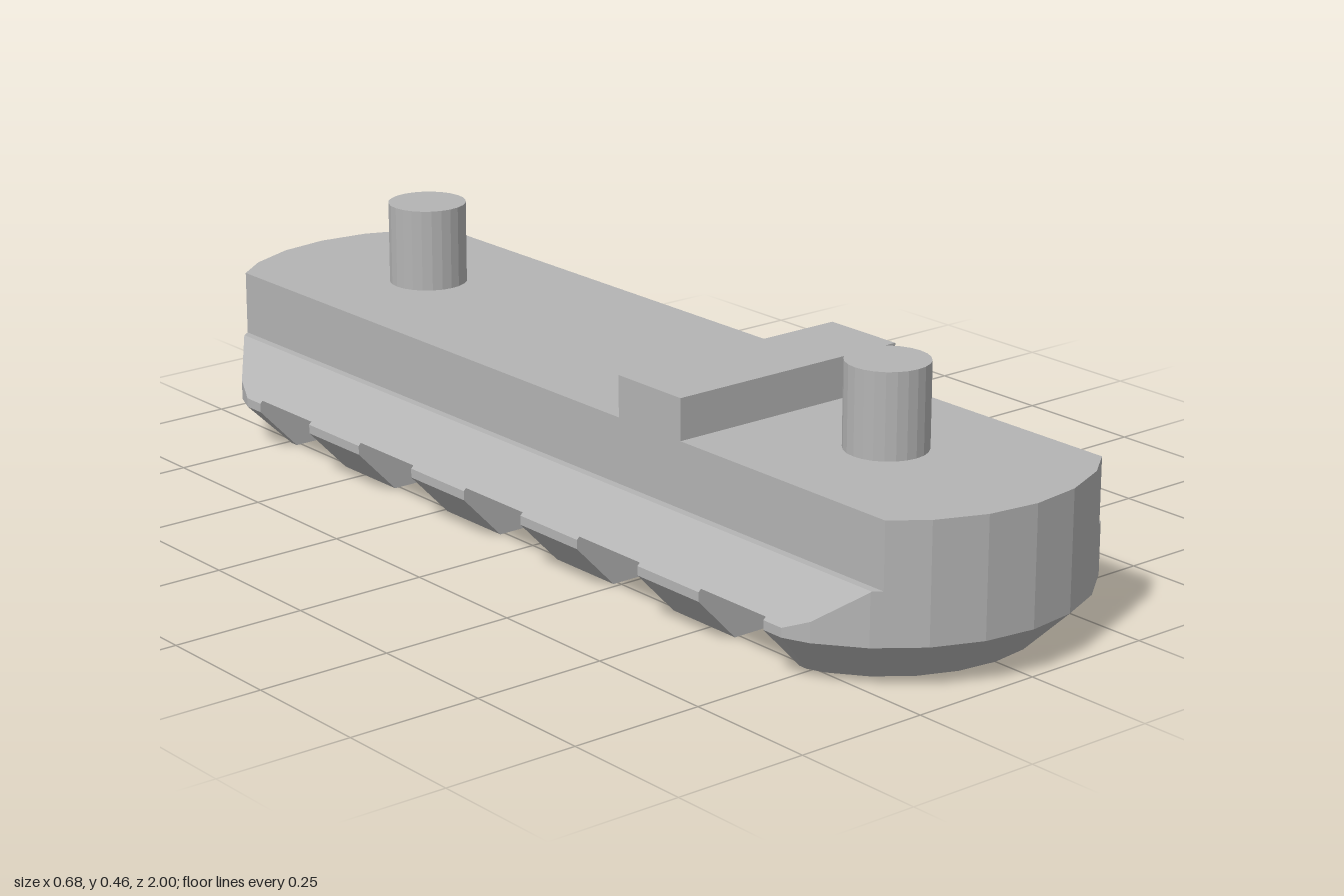
import * as THREE from 'three';

const STEP = Math.PI / 12;
const END_Z = 0.63;      // centre of the rounded ends
const SCREW_Z = 0.643;   // pins and counterbores
const BORE_R = 0.175;
const SLOT_Y = 0.105;    // slot depth

// Half width of the dovetail at height y, and radius of its rounded end
const halfWidth = y => y < 0.083 ? 0.26 + y * 0.08 / 0.083 : y <= 0.1 ? 0.34 : 0.44 - y;
const endRadius = y => y < 0.083 ? 0.285 + y * 0.085 / 0.083 : 0.37;

// Faceted end arc from +x to -x, trimmed to half width w; points are (x, z)
function endArc(w, r) {
  const k0 = Math.floor(Math.asin(w / r) / STEP);
  const xa = r * Math.sin(k0 * STEP), xb = r * Math.sin((k0 + 1) * STEP);
  const za = r * Math.cos(k0 * STEP), zb = r * Math.cos((k0 + 1) * STEP);
  const trimZ = za + (zb - za) * (w - xa) / (xb - xa);
  const pts = [];
  for (let k = 6; k >= -6; k--) {
    const cut = Math.abs(k) > k0;
    const x = cut ? Math.sign(k) * w : r * Math.sin(k * STEP);
    pts.push(new THREE.Vector2(x, END_Z + (cut ? trimZ : r * Math.cos(k * STEP))));
  }
  return pts;
}

// Part of the counterbore circle beyond the line z = zc, from -x to +x
function boreArc(zc) {
  const d = zc - SCREW_Z, half = Math.acos(Math.abs(d) / BORE_R), s = Math.sign(d);
  return Array.from({ length: 11 }, (_, i) => {
    const a = half * (i / 5 - 1);
    return new THREE.Vector2(BORE_R * Math.sin(a), SCREW_Z + s * BORE_R * Math.cos(a));
  });
}

const circle = (r, z, n) => Array.from({ length: n }, (_, i) => {
  const a = i / n * Math.PI * 2;
  return new THREE.Vector2(r * Math.cos(a), z + r * Math.sin(a));
});

// Join plan outlines stacked in y; falling levels make an inward-facing recess
function loft(levels, { holes = [], capEnd = true } = {}) {
  const pos = [];
  const tri = (a, b, c) => {
    const area = b.clone().sub(a).cross(c.clone().sub(a)).length();
    if (area > 1e-9) for (const p of [a, b, c]) pos.push(p.x, p.y, p.z);
  };
  const at = (p, y) => new THREE.Vector3(p.x, y, p.y);
  for (let l = 0; l < levels.length - 1; l++) {
    const [ya, a] = levels[l], [yb, b] = levels[l + 1];
    for (let i = 0; i < a.length; i++) {
      const j = (i + 1) % a.length;
      tri(at(a[i], ya), at(b[i], yb), at(a[j], ya));
      tri(at(b[i], yb), at(b[j], yb), at(a[j], ya));
    }
  }
  const cap = ([y, pts], cuts, flip) => {
    const clean = pts.filter((p, i) => p.distanceTo(pts[(i + 1) % pts.length]) > 1e-6);
    const all = [clean, ...cuts].flat();
    for (const [i, j, k] of THREE.ShapeUtils.triangulateShape(clean, cuts)) {
      const t = [i, j, k].map(n => at(all[n], y));
      if (flip) t.reverse();
      tri(...t);
    }
  };
  cap(levels[0], holes, false);
  if (capEnd) cap(levels[levels.length - 1], [], true);
  const g = new THREE.BufferGeometry();
  g.setAttribute('position', new THREE.Float32BufferAttribute(pos, 3));
  g.computeVertexNormals();
  return g;
}

export function createModel() {
  const model = new THREE.Group();
  model.name = 'railSection';
  const grey = new THREE.MeshStandardMaterial({ color: 0xb4b4b4 });
  grey.name = 'grey';
  const add = (name, geometry, parent = model) => {
    const mesh = new THREE.Mesh(geometry, grey);
    mesh.name = name;
    parent.add(mesh);
    return mesh;
  };

  // Upper body: dovetail shoulders, ledge and straight top
  const plan = w => {
    const arc = endArc(w, 0.37);
    return [...arc, ...arc.map(p => p.clone().negate())];
  };
  const bodyLevels = [SLOT_Y, 0.1196, 0.1784, 0.18].map(y => [y, plan(halfWidth(y))]);
  bodyLevels.push([0.18, plan(0.245)], [0.3, plan(0.245)]);
  const holes = [1, -1].map(s => circle(0.074, s * SCREW_Z, 16));
  add('body', loft(bodyLevels, { holes: holes.map(h => h.slice().reverse()) }));
  for (const h of holes) add('screwHole', loft([[0.27, h], [SLOT_Y, h]], { capEnd: false }));

  // Underside teeth and end blocks, repeated at both ends
  const lowLevels = [0, 0.083, 0.1, SLOT_Y];
  const stack = outline => loft(lowLevels.map(y => [y, outline(halfWidth(y), endRadius(y))]));
  const V = (x, z) => new THREE.Vector2(x, z);
  const endBlock = stack((w, r) =>
    [...endArc(w, r), V(-w, 0.724), ...boreArc(0.724), V(w, 0.724)]);
  const boredTooth = stack(w =>
    [V(w, 0.403), V(w, 0.562), ...boreArc(0.562).reverse(), V(-w, 0.562), V(-w, 0.403)]);
  const plainTooth = stack(w => [V(w, 0.082), V(w, 0.24), V(-w, 0.24), V(-w, 0.082)]);

  for (const side of ['front', 'back']) {
    const half = new THREE.Group();
    half.name = side + 'Half';
    if (side === 'back') half.rotation.y = Math.PI;
    add('endBlock', endBlock, half);
    add('boredTooth', boredTooth, half);
    add('plainTooth', plainTooth, half);
    // Locating pin
    const pinPlan = circle(0.074, SCREW_Z, 24);
    add('pin', loft([[0.299, pinPlan], [0.455, pinPlan]]), half);
    model.add(half);
  }

  // Cross key on the top
  add('crossKey', new THREE.BoxGeometry(0.49, 0.077, 0.164)).position.set(0, 0.3375, 0.319);
  return model;
}
